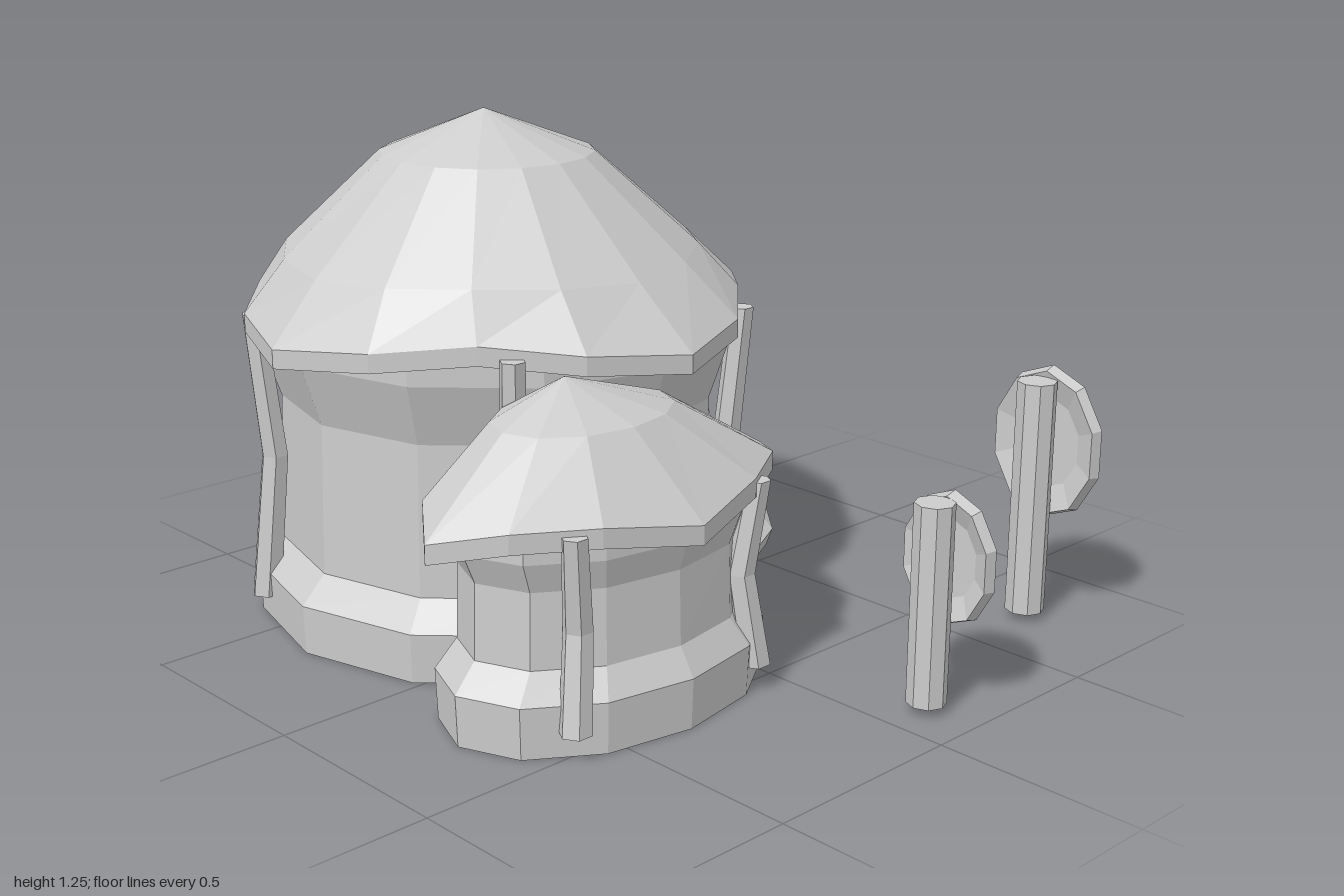
import * as THREE from 'three';

const clay = new THREE.MeshStandardMaterial({ color: 0xcccccc, flatShading: true, side: THREE.DoubleSide });
clay.name = 'paleClay';

function add(parent, name, geometry) {
  const mesh = new THREE.Mesh(geometry, clay);
  mesh.name = name;
  parent.add(mesh);
  return mesh;
}

// Skin over oval rings listed as [y, centreX, centreZ, radiusX, radiusZ, wave].
// The wave pulls the diagonals in and lifts them, four times round.
function loft(rings, sides, minZ = -9) {
  const pos = [], index = [];
  rings.forEach(([y, cx, cz, rx, rz, wave = 0], i) => {
    for (let j = 0; j < sides; j++) {
      const a = (j / sides) * Math.PI * 2;
      const w = (wave * (1 - Math.cos(4 * a))) / 2;
      const s = 1 - 0.12 * w;
      pos.push(cx + rx * s * Math.cos(a), y + 0.045 * w, Math.max(minZ, cz + rz * s * Math.sin(a)));
      if (i === rings.length - 1) continue;
      const p = i * sides + j, q = i * sides + ((j + 1) % sides);
      index.push(p, p + sides, q, q, p + sides, q + sides);
    }
  });
  const g = new THREE.BufferGeometry();
  g.setAttribute('position', new THREE.Float32BufferAttribute(pos, 3));
  g.setIndex(index);
  g.computeVertexNormals();
  return g;
}

// Post whose middle bends towards the hut centre
function post(parent, x, z, cx, cz, top) {
  const g = new THREE.CylinderGeometry(0.03, 0.038, top - 0.06, 6, 2);
  const p = g.attributes.position;
  const d = new THREE.Vector2(cx - x, cz - z).normalize().multiplyScalar(0.035);
  for (let i = 0; i < p.count; i++) {
    if (Math.abs(p.getY(i)) < 0.01) p.setXYZ(i, p.getX(i) + d.x, p.getY(i), p.getZ(i) + d.y);
  }
  add(parent, 'post', g).position.set(x, (top + 0.06) / 2, z);
}

// Stem with an oval dish-shaped cap turned to the back
function dishTree(parent, x, z, top, stemR, capY, capZ, rx, ry) {
  const tree = new THREE.Group();
  tree.name = 'dishTree';
  parent.add(tree);
  add(tree, 'stem', new THREE.CylinderGeometry(stemR, stemR, top - 0.02, 8)).position.set(x, (top + 0.02) / 2, z);
  const profile = [[0, 0.02], [0.6, 0.02], [0.95, 0], [1, 0.03], [0.75, 0.065], [0.36, 0.095], [0, 0.095]];
  const cap = add(tree, 'cap', new THREE.LatheGeometry(profile.map(([r, h]) => new THREE.Vector2(r, h)), 10));
  cap.rotation.x = -Math.PI / 2;
  cap.scale.set(rx, 1, ry);
  cap.position.set(x, capY, capZ);
}

export function createModel() {
  const model = new THREE.Group();
  model.name = 'hutVillage';

  // Large round hut, its wall flattened at the back for the door
  const big = new THREE.Group();
  big.name = 'largeHut';
  model.add(big);
  const bx = -0.325, bz = 0.11;
  const bigWall = [[0, 0.605], [0.12, 0.61], [0.185, 0.545], [0.55, 0.535], [0.7, 0.585], [0.79, 0.585]];
  add(big, 'largeWall', loft(bigWall.map(([y, r]) => [y, bx, bz, r, r]), 12, -0.43));
  add(big, 'largeRoof', loft([
    [0.79, bx, bz, 0.55, 0.55],
    [0.71, bx, bz, 0.675, 0.66, 1],
    [0.755, bx, bz, 0.675, 0.66, 1],
    [0.9, -0.31, 0.14, 0.52, 0.515, 0.3],
    [1.14, -0.29, 0.165, 0.26, 0.255],
    [1.245, -0.27, 0.19, 0.001, 0.001],
  ], 16));
  for (const [x, z] of [[-0.83, -0.22], [0.165, -0.24], [-0.58, 0.65], [0.155, 0.47]]) post(big, x, z, bx, bz, 0.77);

  // Pointed door slab
  const outline = [[-0.23, 0], [0.23, 0], [0.25, 0.28], [0.18, 0.46], [0, 0.58], [-0.18, 0.46], [-0.25, 0.28]];
  const doorShape = new THREE.Shape(outline.map(([x, y]) => new THREE.Vector2(x, y)));
  add(big, 'door', new THREE.ExtrudeGeometry(doorShape, { depth: 0.1, bevelEnabled: false })).position.set(-0.36, 0, -0.46);

  // Bud beside the door
  const bud = [[0, 0.045], [0.02, 0.05], [0.037, 0.1], [0.02, 0.15], [0, 0.175]];
  add(big, 'bud', new THREE.LatheGeometry(bud.map(([r, y]) => new THREE.Vector2(r, y)), 7)).position.set(-0.03, 0, -0.415);

  // Small oval hut
  const small = new THREE.Group();
  small.name = 'smallHut';
  model.add(small);
  const sx = 0.3, sz = 0.335;
  const smallWall = [[0, 0.28, 0.425], [0.12, 0.285, 0.43], [0.185, 0.245, 0.375], [0.36, 0.24, 0.37], [0.43, 0.26, 0.4], [0.5, 0.26, 0.4]];
  add(small, 'smallWall', loft(smallWall.map(([y, rx, rz]) => [y, sx, sz, rx, rz]), 12));
  add(small, 'smallRoof', loft([
    [0.5, sx, sz, 0.24, 0.37],
    [0.435, sx, sz, 0.312, 0.5, 1],
    [0.48, sx, sz, 0.312, 0.5, 1],
    [0.67, 0.29, 0.385, 0.16, 0.23],
    [0.755, 0.28, 0.43, 0.001, 0.001],
  ], 12));
  for (const [x, z] of [[0.525, 0.08], [0.515, 0.615]]) post(small, x, z, sx, sz, 0.5);

  // Bent pipe behind, between the two huts
  const bend = new THREE.CatmullRomCurve3([
    new THREE.Vector3(0.43, 0.31, 0.04), new THREE.Vector3(0.4, 0.34, -0.04), new THREE.Vector3(0.24, 0.35, -0.06),
  ]);
  add(small, 'bentPipe', new THREE.TubeGeometry(bend, 4, 0.055, 6));

  // Two dish trees
  dishTree(model, 0.7, -0.705, 0.605, 0.048, 0.44, -0.74, 0.153, 0.192);
  dishTree(model, 0.87, -0.11, 0.49, 0.046, 0.345, -0.15, 0.123, 0.157);

  return model;
}
